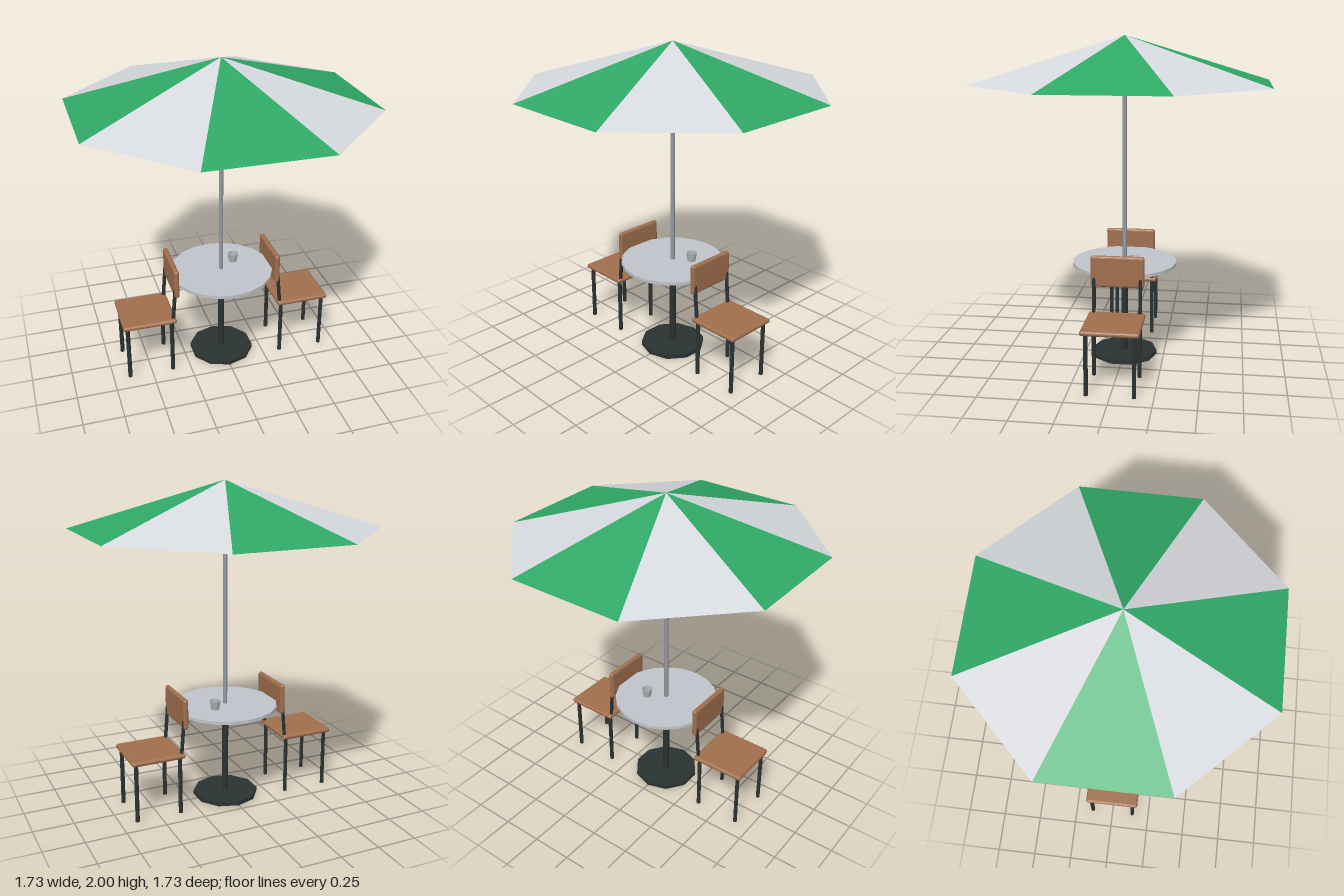
import * as THREE from 'three';
import { RoundedBoxGeometry } from 'three/addons/geometries/RoundedBoxGeometry.js';

const mat = (name, color, extra = {}) => {
  const m = new THREE.MeshStandardMaterial({ color, flatShading: true, ...extra });
  m.name = name;
  return m;
};

export function createModel() {
  const green = mat('canopy green', 0x2fa866, { side: THREE.DoubleSide });
  const white = mat('canopy pale grey', 0xd6d9dd, { side: THREE.DoubleSide });
  const top = mat('table grey', 0xc0c4ca);
  const steel = mat('pole steel', 0x959aa2);
  const cupGrey = mat('cup grey', 0xb0b2b5, { side: THREE.DoubleSide });
  const dark = mat('dark metal', 0x2b3232);
  const wood = mat('wood', 0xa06f4d);

  const model = new THREE.Group();
  model.name = 'cafeTable';

  const add = (parent, name, geometry, material, x = 0, y = 0, z = 0) => {
    const mesh = new THREE.Mesh(geometry, material);
    mesh.name = name;
    mesh.position.set(x, y, z);
    parent.add(mesh);
    return mesh;
  };

  // Upright cylinder between two heights
  const post = (parent, name, material, r, y0, y1, sides) =>
    add(parent, name, new THREE.CylinderGeometry(r, r, y1 - y0, sides), material, 0, (y0 + y1) / 2, 0);

  // Thin rod between two points
  const rod = (parent, name, a, b, r) => {
    const dir = b.clone().sub(a);
    const geometry = new THREE.CylinderGeometry(r, r, dir.length(), 6).rotateY(Math.PI / 6);
    const mesh = add(parent, name, geometry, dark);
    mesh.position.copy(a).add(b).multiplyScalar(0.5);
    mesh.quaternion.setFromUnitVectors(new THREE.Vector3(0, 1, 0), dir.normalize());
  };

  // Table
  const table = new THREE.Group();
  table.name = 'table';
  model.add(table);
  post(table, 'tableBase', dark, 0.205, 0, 0.025, 10);
  post(table, 'tableColumn', dark, 0.021, 0.02, 0.596, 8);
  post(table, 'tableTop', top, 0.325, 0.595, 0.615, 20);

  // Open cup with a floor
  const cup = new THREE.LatheGeometry(
    [[0, 0], [0.025, 0], [0.034, 0.056], [0.029, 0.056], [0.022, 0.008], [0, 0.008]]
      .map(([x, y]) => new THREE.Vector2(x, y)), 10);
  add(table, 'cup', cup, cupGrey, 0.1, 0.615, -0.07);

  // Umbrella: eight triangular panels in alternating colours
  const umbrella = new THREE.Group();
  umbrella.name = 'umbrella';
  model.add(umbrella);
  post(umbrella, 'umbrellaPole', steel, 0.014, 0.615, 1.88, 8);
  const rim = 0.865 / Math.cos(Math.PI / 8);
  for (let i = 0; i < 8; i++) {
    const start = (i - 0.5) * Math.PI / 4;
    const panel = new THREE.ConeGeometry(rim, 0.28, 1, 1, true, start, Math.PI / 4);
    add(umbrella, 'canopyPanel', panel, i % 2 ? white : green, 0, 1.86, 0);
  }

  // Chairs, each with its back towards the table
  const makeChair = () => {
    const chair = new THREE.Group();
    chair.name = 'chair';
    add(chair, 'seat', new RoundedBoxGeometry(0.34, 0.03, 0.34, 2, 0.0145), wood, 0.505, 0.38, 0);
    add(chair, 'backrest', new RoundedBoxGeometry(0.032, 0.19, 0.32, 2, 0.0145), wood, 0.327, 0.64, 0);
    for (const z of [-0.138, 0.138]) {
      for (const x of [0.365, 0.645])
        rod(chair, 'chairLeg', new THREE.Vector3(x, 0, z), new THREE.Vector3(x, 0.375, z), 0.0135);
      rod(chair, 'backSupport', new THREE.Vector3(0.354, 0.38, z), new THREE.Vector3(0.335, 0.6, z), 0.012);
    }
    return chair;
  };
  for (const angle of [0, Math.PI]) {
    const chair = makeChair();
    chair.rotation.y = angle;
    model.add(chair);
  }

  return model;
}
